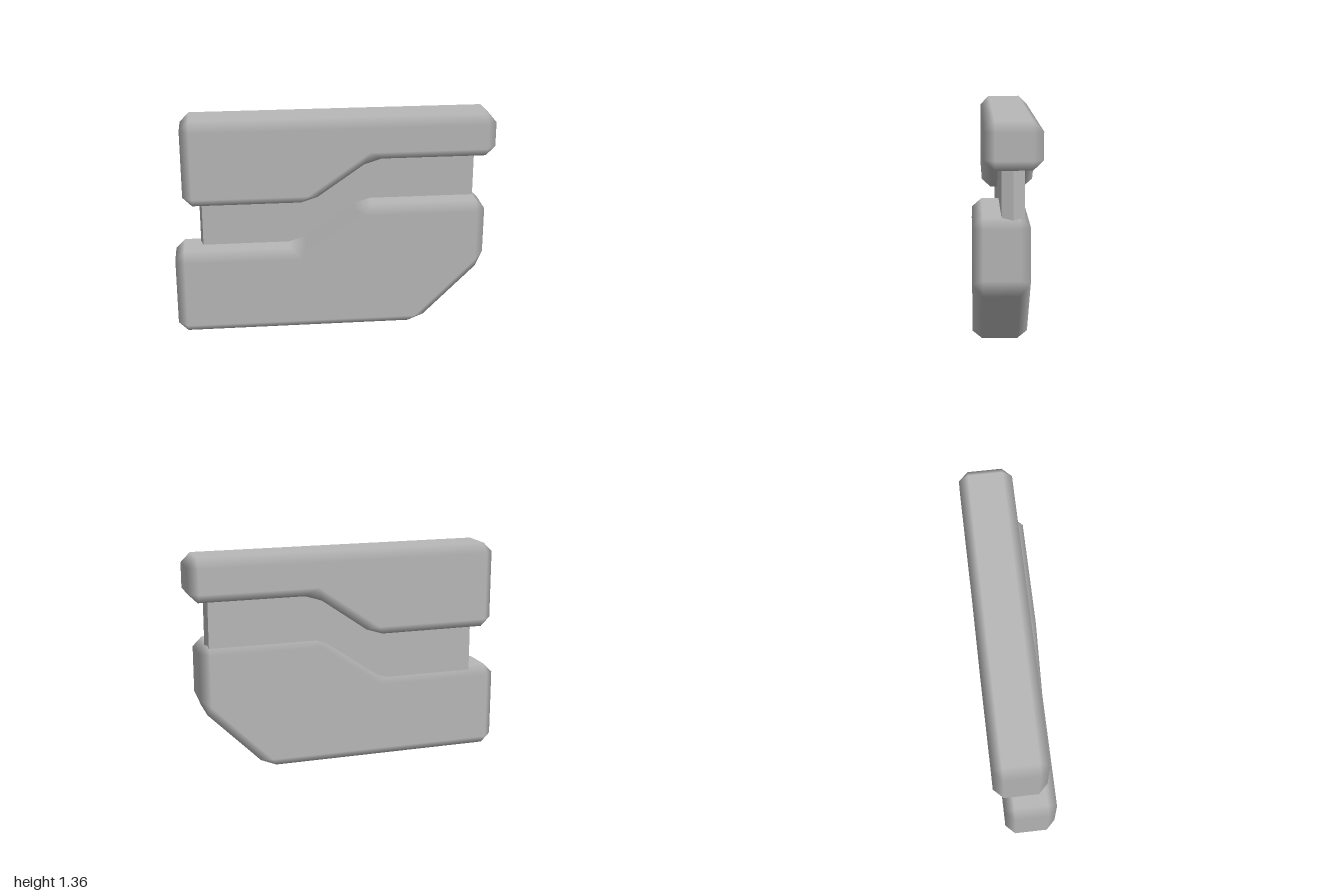
import * as THREE from 'three';

const CHAMFER = 0.058;

// Solid block from a counter-clockwise outline, every edge and corner chamfered
// and softly shaded across the chamfers.
function chamferedBlock(outline, zBack, zFront) {
  const pts = outline.map(([x, y]) => new THREE.Vector2(x, y));
  const n = pts.length;
  const positions = [], normals = [], index = [];

  const corners = pts.map((c, i) => {
    const dIn = c.clone().sub(pts[(i + n - 1) % n]).normalize();
    const dOut = pts[(i + 1) % n].clone().sub(c).normalize();
    const nIn = new THREE.Vector2(dIn.y, -dIn.x);
    const nOut = new THREE.Vector2(dOut.y, -dOut.x);
    const inset = nIn.clone().add(nOut).multiplyScalar(-CHAMFER / (1 + nIn.dot(nOut)));
    return {
      before: c.clone().addScaledVector(dIn, -CHAMFER),
      after: c.clone().addScaledVector(dOut, CHAMFER),
      inner: c.clone().add(inset), nIn, nOut,
    };
  });

  // Each side holds n inner points, then a ring of 2n outer points
  for (const [z, s] of [[zFront, 1], [zBack, -1]]) {
    for (const c of corners) {
      positions.push(c.inner.x, c.inner.y, z);
      normals.push(0, 0, s);
    }
    for (const c of corners) {
      const zo = z - s * CHAMFER;
      positions.push(c.before.x, c.before.y, zo, c.after.x, c.after.y, zo);
      normals.push(c.nIn.x, c.nIn.y, 0, c.nOut.x, c.nOut.y, 0);
    }
  }

  const cap = THREE.ShapeUtils.triangulateShape(corners.map((c) => c.inner), []);
  for (const side of [0, 1]) {
    const base = side * 3 * n;
    const tri = (a, b, c) => (side ? index.push(base + a, base + c, base + b)
      : index.push(base + a, base + b, base + c));
    cap.forEach(([a, b, c]) => tri(a, b, c));
    for (let i = 0; i < n; i++) {
      const j = (i + 1) % n;
      const a = n + 2 * i, b = a + 1, next = n + 2 * j;
      tri(a, b, i);
      tri(b, next, j);
      tri(b, j, i);
    }
  }
  // Rim between the two outer rings
  for (let k = 0; k < 2 * n; k++) {
    const f0 = n + k, f1 = n + ((k + 1) % (2 * n));
    const b0 = f0 + 3 * n, b1 = f1 + 3 * n;
    index.push(f0, b0, b1, f0, b1, f1);
  }

  const geometry = new THREE.BufferGeometry();
  geometry.setAttribute('position', new THREE.Float32BufferAttribute(positions, 3));
  geometry.setAttribute('normal', new THREE.Float32BufferAttribute(normals, 3));
  geometry.setIndex(index);
  return geometry;
}

// Connecting plate with slightly pointed ends, extruded upward from its plan
function webGeometry() {
  const plan = new THREE.Shape([
    [-0.825, -0.033], [0.877, -0.033], [0.892, 0.031],
    [0.877, 0.095], [-0.825, 0.095], [-0.84, 0.031],
  ].map(([x, y]) => new THREE.Vector2(x, y)));
  const geometry = new THREE.ExtrudeGeometry(plan, { depth: 0.77, bevelEnabled: false });
  geometry.rotateX(-Math.PI / 2);
  geometry.translate(0, 0.45, 0);
  return geometry;
}

export function createModel() {
  const model = new THREE.Group();
  const grey = new THREE.MeshStandardMaterial({ color: 0xb8b8b8 });
  grey.name = 'grey';

  const add = (name, geometry) => {
    const mesh = new THREE.Mesh(geometry, grey);
    mesh.name = name;
    model.add(mesh);
  };

  add('lowerBlock', chamferedBlock([
    [-1, 0], [0.525, 0], [0.935, 0.41], [0.935, 0.815],
    [0.165, 0.815], [-0.23, 0.54], [-1, 0.54],
  ], -0.13, 0.195));

  add('upperBlock', chamferedBlock([
    [-0.94, 0.815], [-0.155, 0.815], [0.23, 1.085], [1, 1.085],
    [1, 1.355], [-0.94, 1.355],
  ], -0.195, 0.13));

  add('connectingPlate', webGeometry());
  return model;
}
